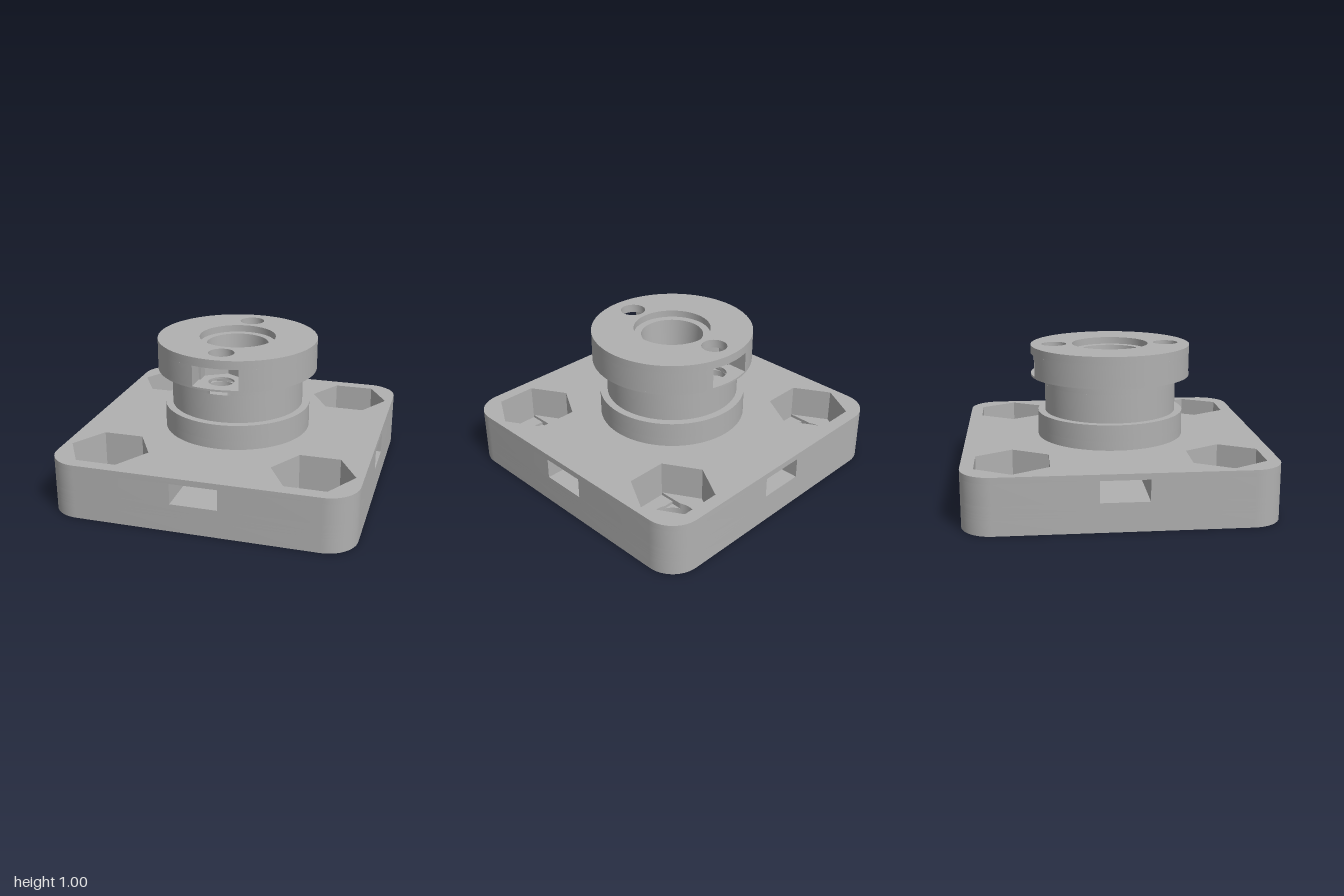
import * as THREE from 'three';
import { toCreasedNormals } from 'three/addons/utils/BufferGeometryUtils.js';

const grey = new THREE.MeshStandardMaterial({ color: 0xb0b0b0 });
grey.name = 'grey plastic';

// Points of an arc
function arc(cx, cy, r, a0, a1, n) {
  return Array.from({ length: n + 1 }, (_, i) => {
    const a = a0 + (a1 - a0) * i / n;
    return [cx + r * Math.cos(a), cy + r * Math.sin(a)];
  });
}
const circle = (r, cx = 0, cy = 0, n = 64) => arc(cx, cy, r, 0, 2 * Math.PI * (1 - 1 / n), n - 1);

// Repeat a run of points n times around the axis
function around(points, n) {
  const out = [];
  for (let k = 0; k < n; k++) {
    const c = Math.round(Math.cos(2 * Math.PI * k / n)), s = Math.round(Math.sin(2 * Math.PI * k / n));
    points.forEach(([x, y]) => out.push([x * c - y * s, x * s + y * c]));
  }
  return out;
}

// Round disc and rounded square outlines, optionally notched on their sides
function disc(r, notch, halfWidth) {
  if (!notch) return circle(r, 0, 0, 96);
  const a = Math.acos(halfWidth / r);
  return around([...arc(0, 0, r, -a, a, 48), ...notch], 2);
}
const square = (notch = []) => around([...arc(0.8, 0.8, 0.2, 0, Math.PI / 2, 14), ...notch], 4);

// Nut slot: straight entry ending in half a hexagon around distance c
const nutSlot = (c, edge) => [
  ...edge, [0.155, c], [0.14, c], [0.14, c - 0.081], [0, c - 0.163],
  [-0.14, c - 0.081], [-0.14, c], [-0.155, c], ...edge.map(([x, y]) => [-x, y]),
];

// Circle of 0.15 merged with a rectangle, for the stepped bolt seat
function seat(hx, hy) {
  return Array.from({ length: 96 }, (_, i) => {
    const a = 2 * Math.PI * i / 96, c = Math.cos(a), s = Math.sin(a);
    const r = Math.max(0.15, Math.min(hx / Math.max(Math.abs(c), 1e-6), hy / Math.max(Math.abs(s), 1e-6)));
    return [r * c, r * s];
  });
}

// One horizontal slab with holes
function layer(name, y0, y1, outline, holes) {
  const vec = pts => pts.map(([x, y]) => new THREE.Vector2(x, y));
  const shape = new THREE.Shape(vec(outline));
  holes.forEach(h => shape.holes.push(new THREE.Path(vec(h))));
  let geo = new THREE.ExtrudeGeometry(shape, { depth: y1 - y0, bevelEnabled: false });
  geo.rotateX(-Math.PI / 2);
  geo.translate(0, y0, 0);
  geo = toCreasedNormals(geo, 0.5);
  const mesh = new THREE.Mesh(geo, grey);
  mesh.name = name;
  return mesh;
}

export function createModel() {
  const model = new THREE.Group();
  model.name = 'flangedHub';

  const atCorners = pts => [[1, 1], [1, -1], [-1, 1], [-1, -1]].map(
    ([sx, sy]) => pts.map(([x, y]) => [x + 0.68 * sx, y + 0.68 * sy]));
  const hex = circle(0.27, 0, 0, 6);
  const baseScrews = [[0.34, 0], [-0.34, 0], [0, 0.34], [0, -0.34]].map(([x, y]) => circle(0.085, x, y, 32));
  const capScrews = [0.385, -0.385].map(y => circle(0.085, 0, y, 32));

  // Base plate: bolt holes, bridging steps, hex pockets and four side nut slots
  const base = new THREE.Group();
  base.name = 'basePlate';
  base.add(
    layer('baseBottom', 0, 0.1, square(), [...atCorners(circle(0.15)), ...baseScrews, circle(0.15)]),
    layer('boltSeatLower', 0.1, 0.12, square(), [...atCorners(seat(0.135, 0.135)), ...baseScrews, circle(0.15)]),
    layer('boltSeatUpper', 0.12, 0.14, square(), [...atCorners(seat(0.135, 0.235)), ...baseScrews, circle(0.15)]),
    layer('hexPocketFloor', 0.14, 0.19, square(), [...atCorners(hex), ...baseScrews, circle(0.15)]),
    layer('baseNutSlots', 0.19, 0.33, square(nutSlot(0.34, [[0.155, 1]])), [...atCorners(hex), circle(0.105)]),
    layer('baseTop', 0.33, 0.37, square(), [...atCorners(hex), ...baseScrews, circle(0.21)]),
  );

  // Collar and neck; the cap screw holes break through the neck wall
  const hub = new THREE.Group();
  hub.name = 'hub';
  const a = Math.atan2(0.0612, 0.059);
  const roundNotch = arc(0, 0.385, 0.085, a, -Math.PI - a, 28);
  const squareNotch = [[0.085, 0.3], [-0.085, 0.3]];
  hub.add(
    layer('collarLower', 0.37, 0.43, disc(0.5), [...baseScrews, circle(0.21)]),
    layer('collarUpper', 0.43, 0.54, disc(0.5), [circle(0.21)]),
    layer('neck', 0.54, 0.73, disc(0.45), [circle(0.21)]),
    layer('neckScrewEnds', 0.73, 0.77, disc(0.45, roundNotch, 0.0592), [circle(0.21)]),
    layer('neckTop', 0.77, 0.787, disc(0.45, squareNotch, 0.085), [circle(0.21)]),
  );

  // Cap with two nut slots and a shallow counterbore
  const cap = new THREE.Group();
  cap.name = 'cap';
  cap.add(
    layer('capBottom', 0.787, 0.8, disc(0.545), [...capScrews, circle(0.21)]),
    layer('capNutSlots', 0.8, 0.94, disc(0.545, nutSlot(0.385, []), 0.155), [circle(0.21)]),
    layer('capUpper', 0.94, 0.95, disc(0.545), [...capScrews, circle(0.21)]),
    layer('capTop', 0.95, 0.997, disc(0.545), [...capScrews, circle(0.26)]),
  );

  // Tapered bore wall
  const bore = new THREE.Mesh(
    new THREE.LatheGeometry([new THREE.Vector2(0.21, 0.95), new THREE.Vector2(0.165, 0.33)], 64), grey);
  bore.name = 'taperedBore';

  model.add(base, hub, cap, bore);
  return model;
}
